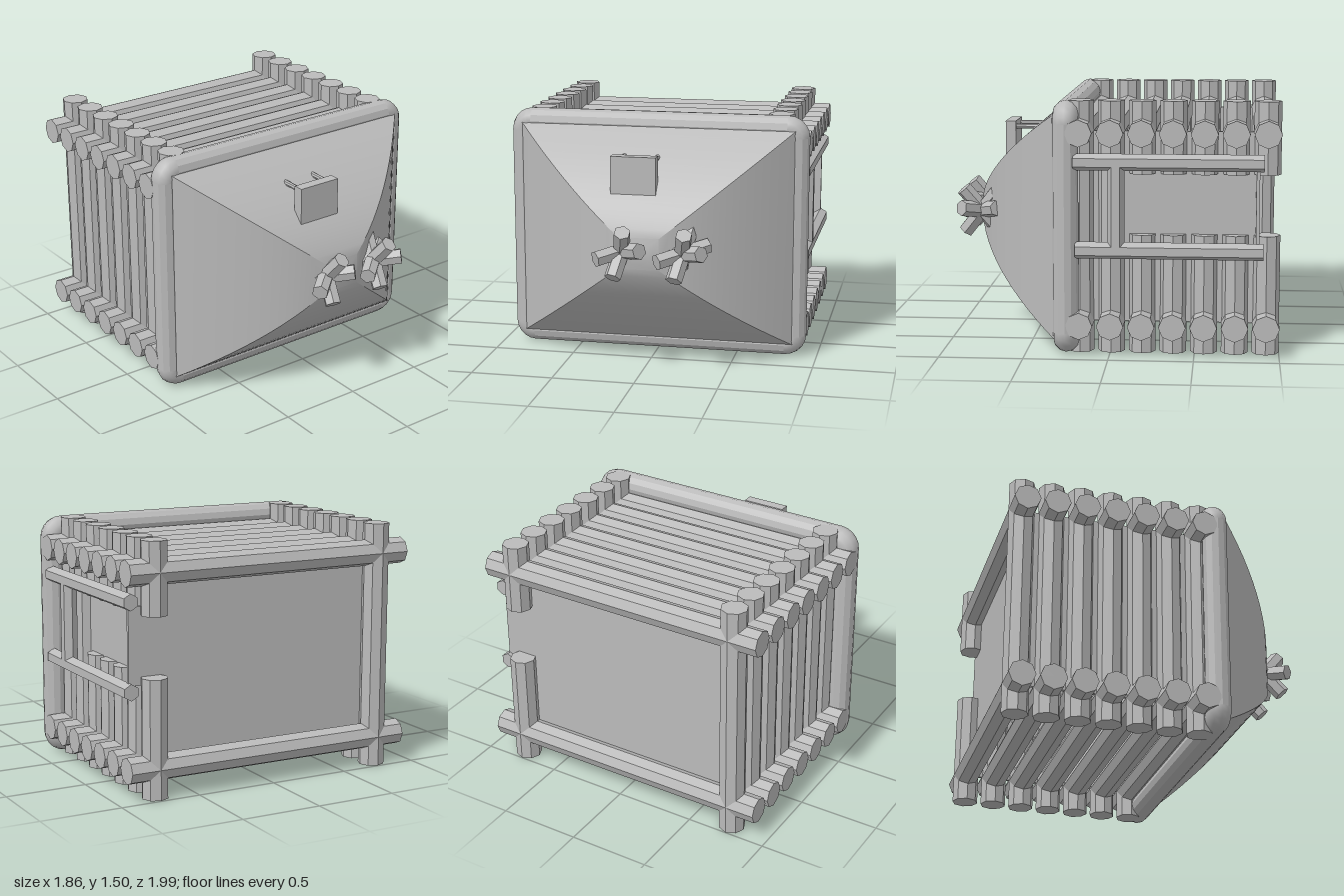
import * as THREE from 'three';
import { toCreasedNormals } from 'three/addons/utils/BufferGeometryUtils.js';

export function createModel() {
  const model = new THREE.Group();
  model.name = 'logCrate';
  const grey = new THREE.MeshStandardMaterial({ color: 0xbbbbbb });
  grey.name = 'plainGrey';

  const add = (geometry, name, parent = model) => {
    const mesh = new THREE.Mesh(geometry, grey);
    mesh.name = name;
    parent.add(mesh);
    return mesh;
  };
  // Faceted rod between two points
  const rod = (a, b, radius, sides, name, parent) => {
    const from = new THREE.Vector3(...a), to = new THREE.Vector3(...b);
    const dir = to.clone().sub(from);
    const geo = new THREE.CylinderGeometry(radius, radius, dir.length(), sides);
    const mesh = add(toCreasedNormals(geo, 0.3), name, parent);
    mesh.quaternion.setFromUnitVectors(new THREE.Vector3(0, 1, 0), dir.normalize());
    mesh.position.copy(from).add(to).multiplyScalar(0.5);
    return mesh;
  };
  // Box from its lower and upper corners
  const block = (a, b, name) => {
    const mesh = add(new THREE.BoxGeometry(b[0] - a[0], b[1] - a[1], b[2] - a[2]), name);
    mesh.position.set((a[0] + b[0]) / 2, (a[1] + b[1]) / 2, (a[2] + b[2]) / 2);
    return mesh;
  };

  // Rings of logs; the left posts are cut away at the window
  const logs = new THREE.Group();
  logs.name = 'logs';
  model.add(logs);
  for (let i = 0; i < 7; i++) {
    const z = -0.92 + i * 0.183;
    for (const y of [0.18, 1.32]) rod([-0.93, y, z], [0.93, y, z], 0.08, 8, 'crossLog', logs);
    rod([-0.75, 0, z], [-0.75, 1.5, z], 0.08, 8, 'rightPost', logs);
    if (i > 4) {
      rod([0.75, 0, z], [0.75, 1.5, z], 0.08, 8, 'leftPost', logs);
    } else {
      rod([0.75, 0, z], [0.75, 0.71, z], 0.08, 8, 'leftLowerPost', logs);
      rod([0.75, 1.07, z], [0.75, 1.5, z], 0.08, 8, 'leftUpperPost', logs);
    }
  }

  // Wall panels behind the logs
  for (const s of [-1, 1]) {
    const wall = block([-0.01, 0.18, -0.86], [0.01, 1.32, 0.25], 'sideWall');
    wall.position.x = s * 0.75;
  }
  block([-0.76, 0.18, -0.875], [0.76, 1.32, -0.855], 'backWall');
  block([0.75, 0.66, -0.875], [0.89, 1.12, -0.855], 'windowBackEdge');
  block([-0.86, 0.08, 0.24], [0.86, 1.42, 0.28], 'frontWall');

  // Window rails and upright
  rod([0.885, 1.15, -0.9], [0.885, 1.15, 0.21], 0.05, 6, 'upperRail');
  rod([0.885, 0.63, -0.9], [0.885, 0.63, 0.2], 0.05, 6, 'lowerRail');
  rod([0.885, 0.65, -0.04], [0.885, 1.13, -0.04], 0.05, 6, 'windowUpright');

  // Rounded front frame: four straight tubes and four bends
  const frame = new THREE.Group();
  frame.name = 'frontFrame';
  frame.position.set(0, 0.75, 0.26);
  model.add(frame);
  const cx = 0.8, cy = 0.62, bend = 0.055, r = 0.077;
  for (const s of [-1, 1]) {
    rod([-cx, s * (cy + bend), 0], [cx, s * (cy + bend), 0], r, 12, 'frameRail', frame);
    rod([s * (cx + bend), -cy, 0], [s * (cx + bend), cy, 0], r, 12, 'frameSide', frame);
  }
  [[1, 1], [-1, 1], [-1, -1], [1, -1]].forEach(([sx, sy], i) => {
    const corner = add(new THREE.TorusGeometry(bend, r, 12, 5, Math.PI / 2), 'frameCorner', frame);
    corner.position.set(sx * cx, sy * cy, 0);
    corner.rotation.z = i * Math.PI / 2;
  });

  // Four-sided nose with a curved profile
  const profile = [new THREE.Vector2(Math.SQRT2, 0.27)];
  for (let i = 0; i <= 14; i++) {
    const s = 1 - i / 14;
    profile.push(new THREE.Vector2(Math.SQRT2 * s, 0.88 - 0.55 * Math.pow(s, 1.7)));
  }
  const noseGeo = new THREE.LatheGeometry(profile, 4);
  noseGeo.rotateY(Math.PI / 4).rotateX(Math.PI / 2).scale(0.855, 0.67, 1);
  const nose = add(toCreasedNormals(noseGeo, 0.5), 'nose');
  nose.position.y = 0.75;

  // Pronged knobs on the nose
  const prongs = [[0.03, 0.138, 0.11], [-0.03, -0.138, 0.11], [-0.132, -0.03, 0.11], [0.132, 0.03, 0.11]];
  for (const x of [-0.105, 0.26]) {
    const knob = new THREE.Group();
    knob.name = 'prongedKnob';
    knob.position.set(x, 0.76, 0.845);
    model.add(knob);
    for (const p of prongs) rod(p.map((v) => -v), p, 0.05, 6, 'prong', knob);
  }

  // Plate held off the nose by two pins
  block([-0.2, 1.03, 0.655], [0.075, 1.3, 0.72], 'plate');
  for (const x of [-0.16, 0.045]) rod([x, 1.265, 0.51], [x, 1.265, 0.68], 0.016, 8, 'platePin');

  return model;
}
